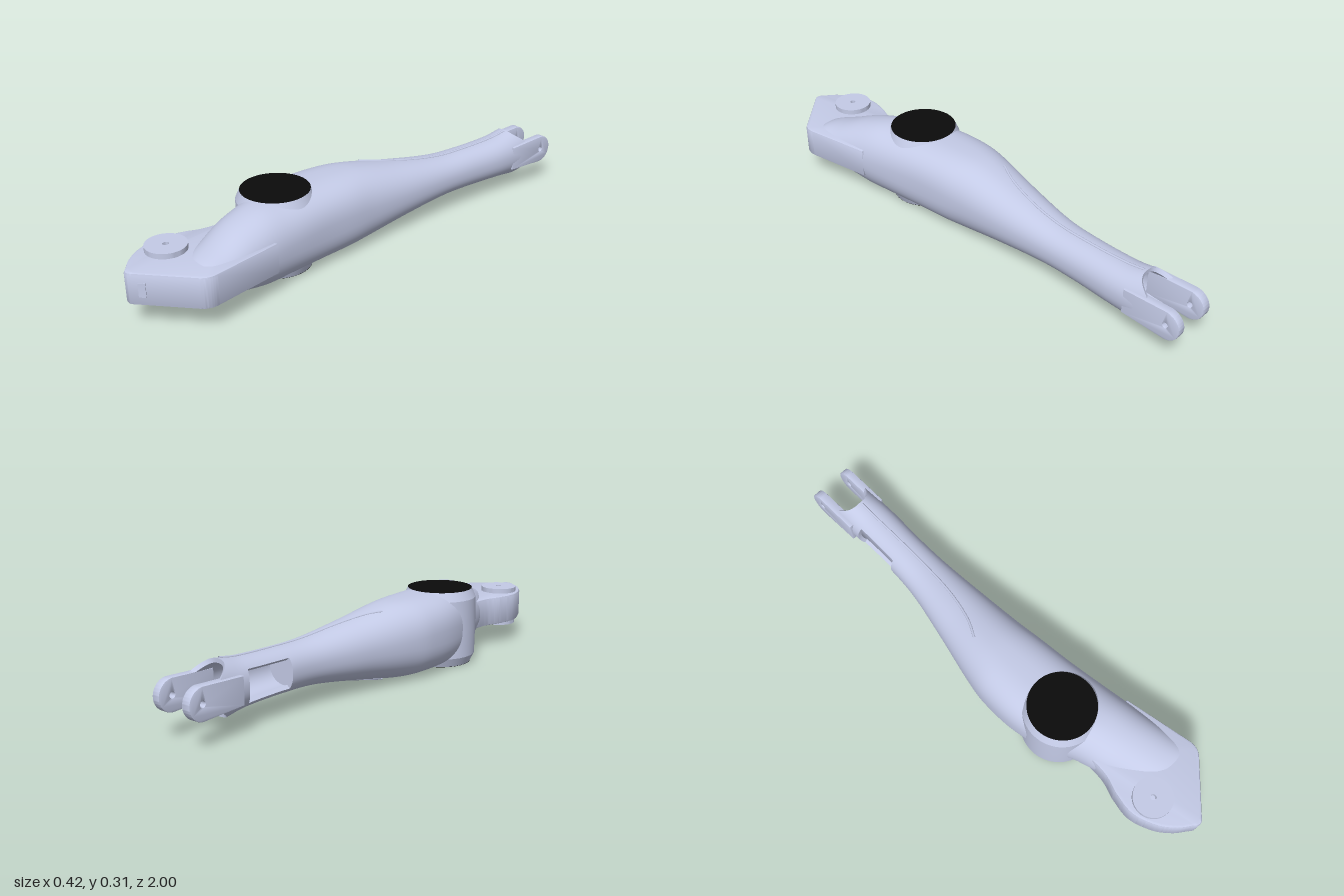
import * as THREE from 'three';
import { toCreasedNormals } from 'three/addons/utils/BufferGeometryUtils.js';

// Body stations: z, left edge x, right edge x, half height, roundness exponent
const STATIONS = [
  [-0.8, -0.08, 0.09, 0.1, 2.2],
  [-0.72, -0.076, 0.095, 0.088, 2.2],
  [-0.55, -0.08, 0.088, 0.083, 2.2],
  [-0.4, -0.095, 0.087, 0.086, 2.2],
  [-0.2, -0.14, 0.095, 0.113, 2.2],
  [0, -0.19, 0.105, 0.146, 2.3],
  [0.1, -0.207, 0.113, 0.152, 2.5],
  [0.25, -0.206, 0.125, 0.152, 2.6],
  [0.4, -0.175, 0.145, 0.151, 2.4],
  [0.5, -0.13, 0.16, 0.148, 2.2],
  [0.6, -0.1, 0.175, 0.126, 2.1],
  [0.7, -0.05, 0.19, 0.09, 2.1],
  [0.78, 0.0, 0.2, 0.064, 2.2],
  [0.8, 0.04, 0.19, 0.05, 2.2],
];
const MID_Y = 0.1535;
const COLS = 64;

// Smooth interpolation of the body stations
function section(z) {
  const S = STATIONS, last = S.length - 1;
  let i = 0;
  while (i < last - 1 && z > S[i + 1][0]) i++;
  const slope = (j, k) => {
    const a = S[Math.max(0, j - 1)], b = S[Math.min(last, j + 1)];
    return (b[k] - a[k]) / (b[0] - a[0]);
  };
  const d = S[i + 1][0] - S[i][0];
  const t = THREE.MathUtils.clamp((z - S[i][0]) / d, 0, 1), t2 = t * t, t3 = t2 * t;
  return [1, 2, 3, 4].map((k) =>
    (2 * t3 - 3 * t2 + 1) * S[i][k] + (t3 - 2 * t2 + t) * d * slope(i, k) +
    (3 * t2 - 2 * t3) * S[i + 1][k] + (t3 - t2) * d * slope(i + 1, k));
}

// Point on the body skin, or inside it by an inset; the rear rim sweeps back into the fork
function skin(row, col, inset = 0) {
  const z = -0.8 + row * 0.02;
  const [l, r, h, n] = section(z);
  const a = (col / COLS) * Math.PI * 2, c = Math.cos(a), s = Math.sin(a);
  const p = (v) => Math.sign(v) * Math.pow(Math.abs(v), 2 / n);
  const sweep = THREE.MathUtils.clamp((-0.7 - z) / 0.1, 0, 1) * 0.09 * Math.abs(c) ** 3;
  return [(l + r) / 2 + ((r - l) / 2 - inset) * p(c), (h - inset) * p(s), z - sweep];
}

function bodyTop(x, z) {
  const [l, r, h, n] = section(z);
  const u = Math.min(1, Math.abs((x - (l + r) / 2) / ((r - l) / 2)));
  return h * Math.pow(1 - u ** n, 1 / n);
}

// Surface over a grid of rows and closed columns, with optional missing cells
function grid(rows, cols, point, closed, skip = () => false) {
  const pos = [], index = [], w = closed ? cols : cols + 1;
  for (let i = 0; i <= rows; i++) for (let j = 0; j < w; j++) pos.push(...point(i, j));
  for (let i = 0; i < rows; i++) for (let j = 0; j < cols; j++) {
    if (skip(i, j)) continue;
    const a = i * w + j, b = i * w + ((j + 1) % w), c = a + w, d = b + w;
    index.push(a, b, c, b, d, c);
  }
  const g = new THREE.BufferGeometry();
  g.setAttribute('position', new THREE.Float32BufferAttribute(pos, 3));
  g.setIndex(index);
  g.computeVertexNormals();
  return g;
}

function extrude(shape, depth, bevel = 0) {
  const g = new THREE.ExtrudeGeometry(shape, {
    depth: depth - 2 * bevel, curveSegments: 24, bevelEnabled: bevel > 0,
    bevelSize: bevel, bevelThickness: bevel, bevelOffset: -bevel, bevelSegments: 2,
  });
  g.translate(0, 0, bevel - depth / 2);
  return toCreasedNormals(g, 0.6);
}

function hole(shape, x, y, r) {
  shape.holes.push(new THREE.Path().absarc(x, y, r, 0, Math.PI * 2, true));
  return shape;
}

export function createModel() {
  const metal = new THREE.MeshStandardMaterial({ color: 0xcad1ee, side: THREE.DoubleSide });
  metal.name = 'pale blue metal';
  const black = new THREE.MeshStandardMaterial({ color: 0x0b0b0b });
  black.name = 'black';

  const model = new THREE.Group();
  model.name = 'linkArm';
  const arm = new THREE.Group();
  arm.name = 'arm';
  arm.position.y = MID_Y;
  model.add(arm);
  const add = (name, geometry, material = metal) => {
    const m = new THREE.Mesh(geometry, material);
    m.name = name;
    arm.add(m);
    return m;
  };

  // Hollow-ended body with a side window
  const wall = 0.016, R0 = 4, R1 = 13, C0 = 25, C1 = 39, inner = 15;
  const inWindow = (i, j) => i >= R0 && i < R1 && j >= C0 && j < C1;
  add('body', grid(80, COLS, (i, j) => skin(i, j), true, inWindow));
  add('innerWall', grid(inner, COLS, (i, j) => skin(i, -j, wall), true,
    (i, j) => inWindow(i, COLS - 1 - j)));
  add('rearRim', grid(1, COLS, (i, j) => skin(0, j, i ? 0 : wall), true));
  add('cavityEnd', grid(1, COLS, (i, j) => {
    const p = skin(inner, j, wall);
    return i ? p : [0, 0, p[2]];
  }, true));
  for (const c of [C0, C1]) {
    add('windowSide', grid(R1 - R0, 1, (i, j) => skin(R0 + i, c, j * wall), false));
  }
  for (const r of [R0, R1]) {
    add('windowEnd', grid(C1 - C0, 1, (i, j) => skin(r, C0 + i, j * wall), false));
  }

  // Round joint housing with a black face above and below
  const profile = [[0, -0.1525], [0.13, -0.1525], [0.146, -0.117], [0.148, 0],
    [0.146, 0.117], [0.13, 0.1525], [0, 0.1525]].map(([x, y]) => new THREE.Vector2(x, y));
  const housing = new THREE.LatheGeometry(profile, 64);
  add('jointHousing', toCreasedNormals(housing, 0.3)).position.set(-0.052, 0, 0.36);
  for (const s of [1, -1]) {
    add('jointFace', new THREE.CylinderGeometry(0.13, 0.13, 0.002, 64), black)
      .position.set(-0.052, s * 0.1525, 0.36);
  }

  // Flat pointed front lug
  const lug = new THREE.Shape();
  lug.moveTo(0.16, 0.5);
  lug.lineTo(0.205, 0.77);
  lug.quadraticCurveTo(0.212, 0.81, 0.185, 0.835);
  lug.lineTo(0.025, 0.985);
  lug.quadraticCurveTo(0, 1.013, -0.025, 0.985);
  lug.splineThru([[-0.07, 0.95], [-0.115, 0.89], [-0.145, 0.8], [-0.132, 0.71],
    [-0.107, 0.63], [-0.1, 0.5]].map(([x, y]) => new THREE.Vector2(x, y)));
  add('frontLug', extrude(lug, 0.122, 0.01)).rotation.x = Math.PI / 2;

  // Pivot boss through the lug
  const disc = hole(new THREE.Shape().absarc(0, 0, 0.075, 0, Math.PI * 2), 0, 0, 0.011);
  const boss = add('pivotBoss', extrude(disc, 0.162));
  boss.rotation.x = Math.PI / 2;
  boss.position.set(-0.052, 0, 0.815);

  // Small slot plate on the slanted front face
  const slot = add('frontSlot', new THREE.BoxGeometry(0.026, 0.054, 0.006));
  slot.position.set(0.046, 0, 0.965);
  slot.rotation.y = Math.atan2(0.15, 0.16);

  // Rear fork prongs with rounded, drilled ends
  const prong = new THREE.Shape();
  prong.moveTo(0.77, -0.05);
  prong.lineTo(0.942, -0.058);
  prong.absarc(0.942, 0, 0.058, -Math.PI / 2, Math.PI / 2);
  prong.lineTo(0.77, 0.05);
  prong.closePath();
  hole(prong, 0.945, 0, 0.011);
  for (const [name, x, t] of [['rightProng', -0.066, 0.036], ['leftProng', 0.077, 0.032]]) {
    const m = add(name, extrude(prong, t, 0.003));
    m.rotation.y = Math.PI / 2;
    m.position.x = x;
  }

  // Thin curved seams above and below the arm
  const path = new THREE.SplineCurve([[-0.085, -0.06], [-0.045, -0.14], [-0.012, -0.27],
    [0.004, -0.42], [0.01, -0.6], [0.01, -0.79]].map(([x, z]) => new THREE.Vector2(x, z)));
  for (const s of [1, -1]) {
    const pts = path.getPoints(30).map((p) =>
      new THREE.Vector3(p.x, s * bodyTop(p.x, p.y), p.y));
    add('seam', new THREE.TubeGeometry(new THREE.CatmullRomCurve3(pts), 60, 0.005, 8));
  }
  return model;
}
